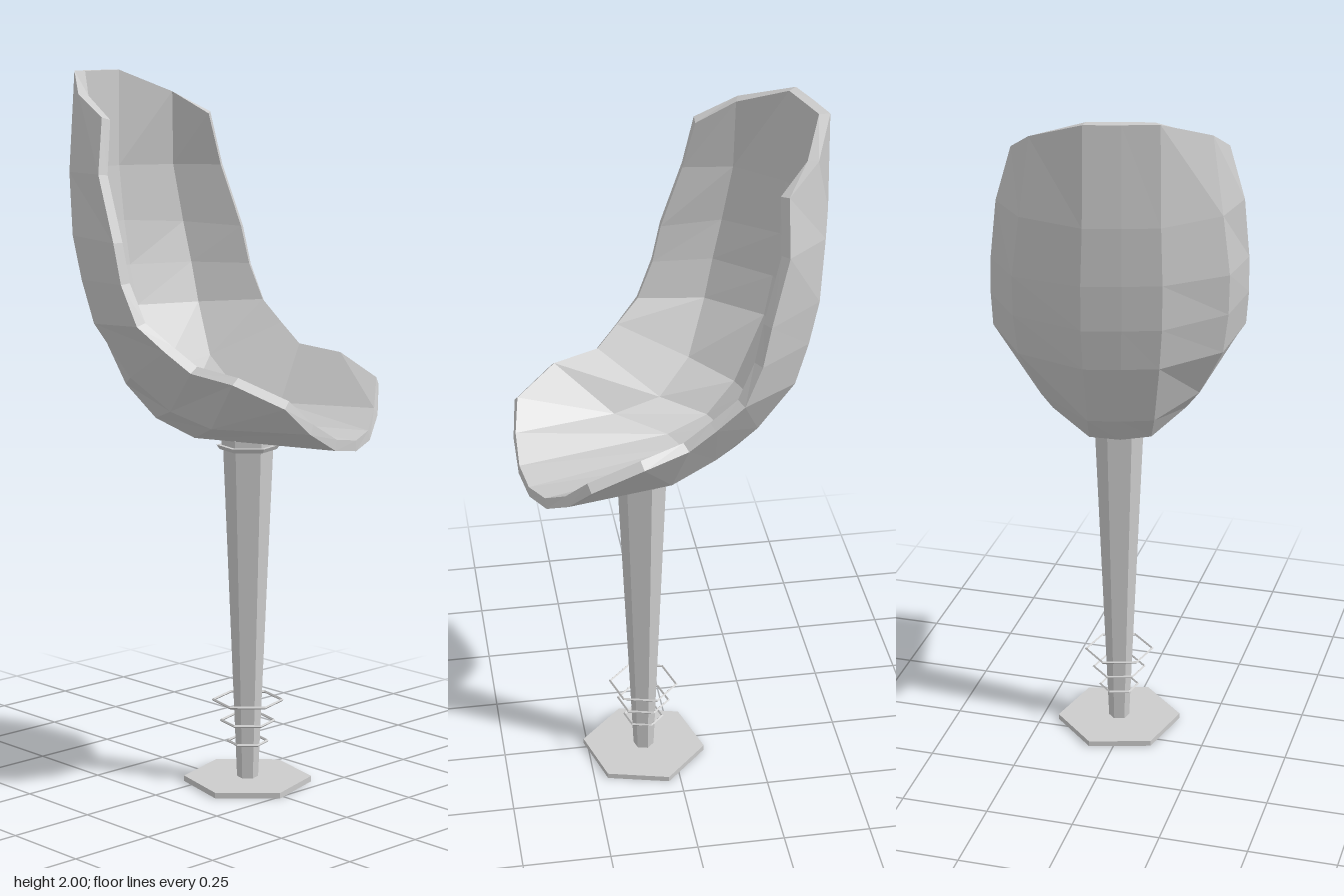
import * as THREE from 'three';

const material = new THREE.MeshStandardMaterial({ color: 0xcccccc, flatShading: true });

function addMesh(parent, geometry, name, y = 0) {
  const mesh = new THREE.Mesh(geometry, material);
  mesh.name = name;
  mesh.position.y = y;
  parent.add(mesh);
}

// Half sections from the top of the back to the front lip.
// Each has four [forward, up, sideways] points: middle, inner, outer, rim.
const sections = [
  [[-0.507, 2.0, 0], [-0.505, 2.0, 0.097], [-0.4, 1.94, 0.234], [-0.292, 1.88, 0.283]],
  [[-0.51, 1.73, 0], [-0.507, 1.73, 0.1], [-0.413, 1.73, 0.262], [-0.277, 1.73, 0.325]],
  [[-0.498, 1.57, 0], [-0.495, 1.57, 0.105], [-0.39, 1.56, 0.283], [-0.218, 1.55, 0.344]],
  [[-0.478, 1.44, 0], [-0.475, 1.44, 0.105], [-0.362, 1.44, 0.283], [-0.193, 1.44, 0.347]],
  [[-0.448, 1.32, 0], [-0.445, 1.32, 0.1], [-0.33, 1.32, 0.272], [-0.145, 1.33, 0.344]],
  [[-0.352, 1.13, 0], [-0.346, 1.13, 0.09], [-0.25, 1.17, 0.215], [-0.07, 1.265, 0.325]],
  [[-0.26, 1.035, 0], [-0.25, 1.04, 0.085], [-0.14, 1.08, 0.185], [0, 1.21, 0.307]],
  [[-0.13, 0.99, 0], [-0.12, 0.995, 0.09], [0, 1.045, 0.2], [0.133, 1.19, 0.314]],
  [[0.338, 0.985, 0], [0.328, 1.0, 0.1], [0.303, 1.055, 0.195], [0.267, 1.13, 0.27]],
];

function shellGeometry(thickness) {
  const cols = 7, rows = sections.length, count = rows * cols;
  const positions = [], index = [];
  for (const s of sections) {
    for (let j = -3; j <= 3; j++) {
      const [x, y, z] = s[Math.abs(j)];
      positions.push(x, y, Math.sign(j) * z);
    }
  }
  const quad = (a, b, c, d) => index.push(a, b, c, a, c, d);
  for (let i = 0; i < rows - 1; i++) {
    for (let j = 0; j < cols - 1; j++) {
      const a = i * cols + j;
      quad(a, a + cols, a + cols + 1, a + 1);
    }
  }
  // Offset the outer skin along its normals to get the inner skin
  const skin = new THREE.BufferGeometry();
  skin.setAttribute('position', new THREE.Float32BufferAttribute(positions, 3));
  skin.setIndex([...index]);
  skin.computeVertexNormals();
  const normals = skin.attributes.normal.array;
  for (let k = 0; k < count * 3; k++) positions.push(positions[k] - normals[k] * thickness);
  for (let i = 0; i < rows - 1; i++) {
    for (let j = 0; j < cols - 1; j++) {
      const a = count + i * cols + j;
      quad(a, a + 1, a + cols + 1, a + cols);
    }
  }
  // Rim band joining the skins
  const border = [];
  for (let j = 0; j < cols - 1; j++) border.push(j);
  for (let i = 0; i < rows - 1; i++) border.push(i * cols + cols - 1);
  for (let j = cols - 1; j > 0; j--) border.push((rows - 1) * cols + j);
  for (let i = rows - 1; i > 0; i--) border.push(i * cols);
  border.forEach((a, k) => {
    const b = border[(k + 1) % border.length];
    quad(a, b, b + count, a + count);
  });
  const geometry = new THREE.BufferGeometry();
  geometry.setAttribute('position', new THREE.Float32BufferAttribute(positions, 3));
  geometry.setIndex(index);
  const flat = geometry.toNonIndexed();
  flat.computeVertexNormals();
  return flat;
}

export function createModel() {
  const model = new THREE.Group();
  model.name = 'barStool';

  // The stool is turned a little about its pole
  const stool = new THREE.Group();
  stool.name = 'turnedStool';
  stool.position.set(0.085, 0, -0.025);
  stool.rotation.y = 0.28;
  model.add(stool);

  addMesh(stool, shellGeometry(0.03), 'seatShell');

  // Hexagonal foot, tapered pole and collar under the seat
  addMesh(stool, new THREE.CylinderGeometry(0.181, 0.181, 0.016, 6), 'basePlate', 0.008);
  addMesh(stool, new THREE.CylinderGeometry(0.07, 0.03, 0.955, 6), 'pole', 0.4925);
  addMesh(stool, new THREE.CylinderGeometry(0.088, 0.08, 0.012, 6), 'collar', 0.967);
  addMesh(stool, new THREE.CylinderGeometry(0.074, 0.074, 0.02, 6), 'collarNeck', 0.982);

  // Thin hexagonal rings around the pole
  [[0.24, 0.098], [0.18, 0.075], [0.12, 0.056]].forEach(([y, radius]) => {
    const ring = new THREE.TorusGeometry(radius, 0.004, 4, 6);
    ring.rotateX(Math.PI / 2).rotateY(Math.PI / 2);
    addMesh(stool, ring, 'poleRing', y);
  });

  return model;
}
